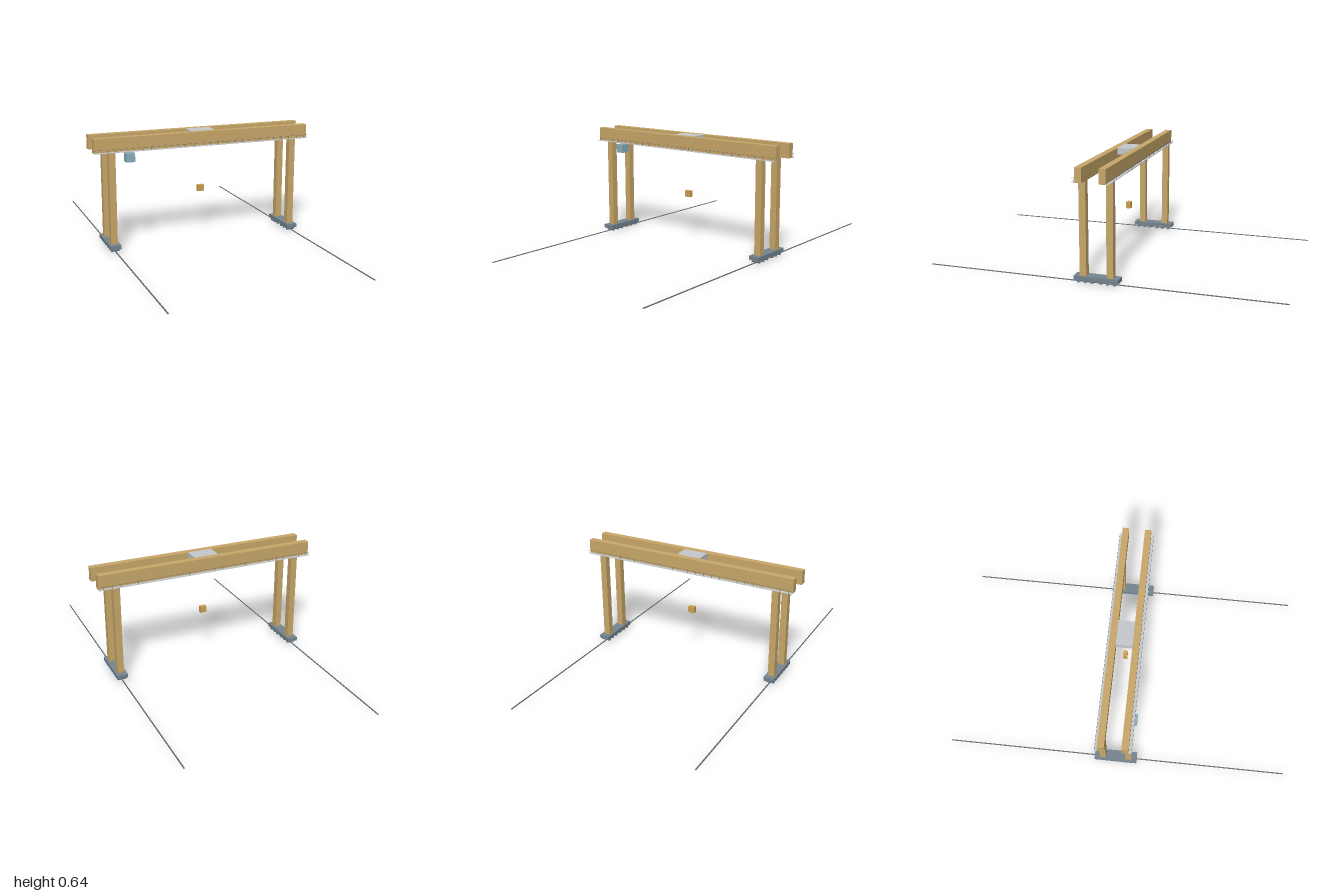
import * as THREE from 'three';

const material = (name, color) => {
  const m = new THREE.MeshStandardMaterial({ color });
  m.name = name;
  return m;
};

export function createModel() {
  const crane = new THREE.Group();
  crane.name = 'gantryCrane';

  const tan = material('tanPaint', 0xc9a86a);
  const steel = material('blueGreySteel', 0x748490);
  const pale = material('paleGrey', 0xc4c9ce);
  const glass = material('cabBlue', 0x88b0bc);
  const gold = material('hookGold', 0xcda252);
  const railSteel = material('railSteel', 0x66717b);

  const box = (name, mat, [w, h, d], [x, y, z]) => {
    const mesh = new THREE.Mesh(new THREE.BoxGeometry(w, h, d), mat);
    mesh.name = name;
    mesh.position.set(x, y, z);
    crane.add(mesh);
    return mesh;
  };

  const wheelGeometry = new THREE.CylinderGeometry(0.009, 0.009, 0.048, 12).rotateZ(Math.PI / 2);

  // Ground rails, bogies, wheels and legs on each side
  for (const x of [-0.55, 0.55]) {
    box('groundRail', railSteel, [0.006, 0.004, 2], [x, 0.002, 0]);
    box('bogie', steel, [0.0625, 0.022, 0.25], [x, 0.028, 0]);
    for (const s of [-1, 1]) {
      box('leg', tan, [0.0375, 0.522, 0.0375], [x, 0.299, s * 0.075]);
      for (const z of [0.025, 0.0625, 0.1]) {
        const wheel = new THREE.Mesh(wheelGeometry, steel);
        wheel.name = 'wheel';
        wheel.position.set(x, 0.009, s * z);
        crane.add(wheel);
      }
    }
  }

  // Twin girders with outer walkways and low railings
  for (const s of [-1, 1]) {
    box('girder', tan, [1.295, 0.08, 0.0375], [0, 0.6, s * 0.0645]);
    box('walkway', pale, [1.295, 0.003, 0.017], [0, 0.5615, s * 0.0915]);
    box('handrail', railSteel, [1.295, 0.0012, 0.0012], [0, 0.579, s * 0.0985]);
    for (let i = 0; i < 26; i++) {
      box('railingPost', railSteel, [0.0012, 0.016, 0.0012], [-0.625 + i * 0.05, 0.571, s * 0.0985]);
    }
  }

  // Trolley, hook block and operator cab
  box('trolley', pale, [0.145, 0.038, 0.092], [0, 0.621, 0]);
  box('hookBlock', gold, [0.0375, 0.0365, 0.026], [0, 0.292, 0]);
  box('operatorCab', glass, [0.05, 0.05, 0.05], [-0.45, 0.529, 0.087]);

  return crane;
}
